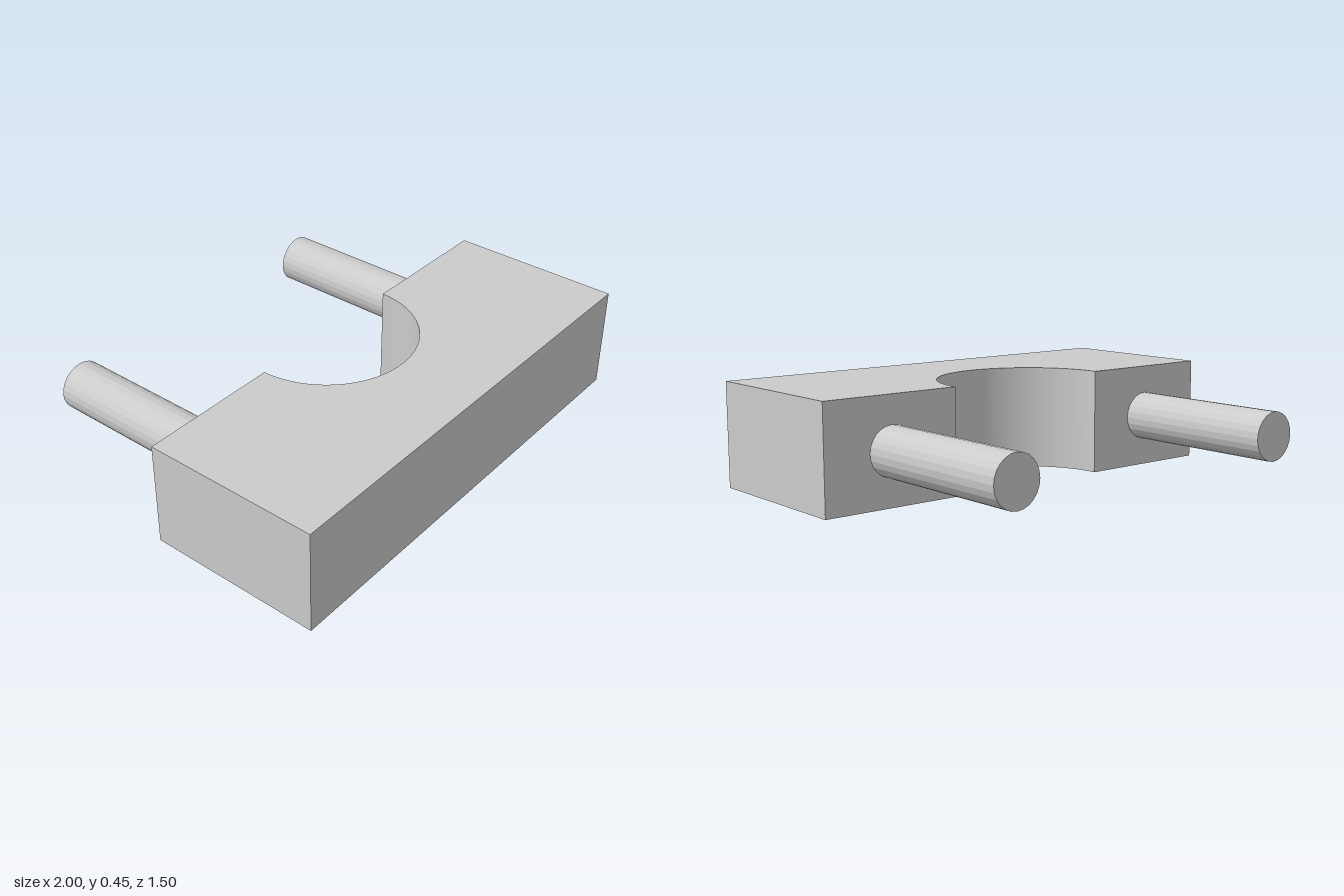
import * as THREE from 'three';

const HEIGHT = 0.45, DEPTH = 0.75, NOTCH_RADIUS = 0.383;
const PIN_RADIUS = 0.105, PIN_X = 0.69, PIN_LENGTH = 0.75;

export function createModel() {
  const group = new THREE.Group();
  const material = new THREE.MeshStandardMaterial({ color: 0xcccccc, flatShading: true });

  // Block with a half-round notch in its back, drawn in plan (shape y becomes z)
  const plan = new THREE.Shape();
  plan.moveTo(-1, 0);
  plan.lineTo(-1, DEPTH);
  plan.lineTo(1, DEPTH);
  plan.lineTo(1, 0);
  plan.lineTo(NOTCH_RADIUS, 0);
  plan.absarc(0, 0, NOTCH_RADIUS, 0, Math.PI, false);
  plan.closePath();
  const blockGeometry = new THREE.ExtrudeGeometry(plan, {
    depth: HEIGHT, bevelEnabled: false, curveSegments: 32,
  });
  blockGeometry.rotateX(Math.PI / 2).translate(0, HEIGHT, 0);
  const block = new THREE.Mesh(blockGeometry, material);
  block.name = 'notchedBlock';
  group.add(block);

  // Two round pins standing out of the back face
  const pinGeometry = new THREE.CylinderGeometry(PIN_RADIUS, PIN_RADIUS, PIN_LENGTH, 24);
  pinGeometry.rotateX(Math.PI / 2);
  for (const [name, side] of [['leftPin', 1], ['rightPin', -1]]) {
    const pin = new THREE.Mesh(pinGeometry, material);
    pin.name = name;
    pin.position.set(side * PIN_X, HEIGHT / 2, -PIN_LENGTH / 2);
    group.add(pin);
  }

  return group;
}
